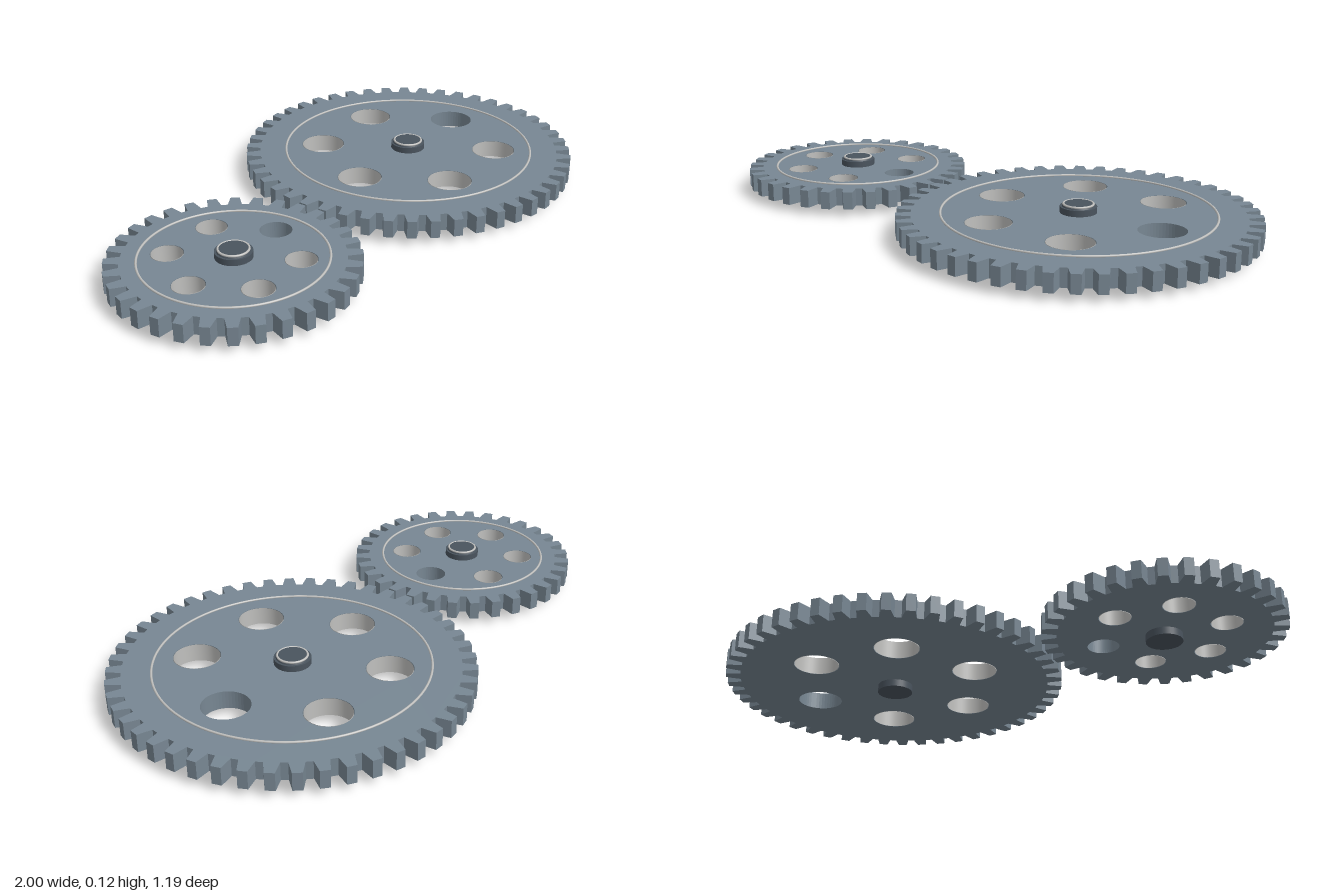
import * as THREE from 'three';

const steel = new THREE.MeshStandardMaterial({ color: 0x788793 });
steel.name = 'steel';
const darkSteel = new THREE.MeshStandardMaterial({ color: 0x4a545e });
darkSteel.name = 'dark steel';
const paleMetal = new THREE.MeshStandardMaterial({ color: 0xc0c0be, side: THREE.DoubleSide });
paleMetal.name = 'pale metal';

const BOTTOM = 0.025, TOP = 0.086;

// Centres of the six lightening holes, the first one towards +x
function holeCentres(distance) {
  return Array.from({ length: 6 }, (_, i) => {
    const a = (i * Math.PI) / 3;
    return [distance * Math.cos(a), distance * Math.sin(a)];
  });
}

// Toothed outline with round holes
function gearShape(teeth, outer, root, centres, holeRadius) {
  const shape = new THREE.Shape();
  const pitch = (Math.PI * 2) / teeth;
  const corners = [[-0.34, root], [-0.2, outer], [0.2, outer], [0.34, root]];
  for (let i = 0; i < teeth; i++) {
    for (const [offset, r] of corners) {
      const a = (i + 0.5 + offset) * pitch;
      const x = r * Math.cos(a), y = r * Math.sin(a);
      if (i === 0 && offset === -0.34) shape.moveTo(x, y);
      else shape.lineTo(x, y);
    }
  }
  shape.closePath();
  for (const [x, y] of centres) {
    const hole = new THREE.Path();
    hole.absarc(x, y, holeRadius, 0, Math.PI * 2, true);
    shape.holes.push(hole);
  }
  return shape;
}

function part(name, geometry, material, x = 0, y = 0, z = 0) {
  const mesh = new THREE.Mesh(geometry, material);
  mesh.name = name;
  mesh.position.set(x, y, z);
  return mesh;
}

function flatRing(radius, tube, segments) {
  return new THREE.TorusGeometry(radius, tube, 8, segments).rotateX(-Math.PI / 2);
}

function makeGear(name, x, teeth, outer, root, holeDistance, holeRadius, ringRadius) {
  const gear = new THREE.Group();
  gear.name = name;
  gear.position.x = x;
  const centres = holeCentres(holeDistance);
  const thickness = TOP - BOTTOM;

  // Flat toothed wheel
  const wheel = new THREE.ExtrudeGeometry(
    gearShape(teeth, outer, root, centres, holeRadius),
    { depth: thickness, bevelEnabled: false, curveSegments: 24 }
  ).rotateX(-Math.PI / 2);
  gear.add(part('toothedWheel', wheel, steel, 0, BOTTOM));

  // Pale liners in every hole but the first, which stays bare
  const liner = new THREE.CylinderGeometry(holeRadius - 0.002, holeRadius - 0.002, thickness, 40, 1, true);
  for (const [cx, cy] of centres.slice(1)) {
    gear.add(part('holeLiner', liner, paleMetal, cx, BOTTOM + thickness / 2, -cy));
  }

  // Fine raised ring on the upper face
  gear.add(part('raisedRing', flatRing(ringRadius, 0.004, 96), paleMetal, 0, TOP + 0.002));

  // Central shaft with a rim ring around its raised cap
  gear.add(part('hub', new THREE.CylinderGeometry(0.061, 0.061, 0.107, 40), darkSteel, 0, 0.0535));
  gear.add(part('hubCap', new THREE.CylinderGeometry(0.05, 0.054, 0.009, 40), darkSteel, 0, 0.1115));
  gear.add(part('hubRing', flatRing(0.049, 0.004, 40), paleMetal, 0, 0.1135));
  return gear;
}

export function createModel() {
  const model = new THREE.Group();
  model.name = 'gearPair';
  model.add(makeGear('smallGear', -0.598, 32, 0.402, 0.352, 0.21, 0.053, 0.3));
  model.add(makeGear('largeGear', 0.404, 48, 0.596, 0.546, 0.315, 0.078, 0.45));
  return model;
}
